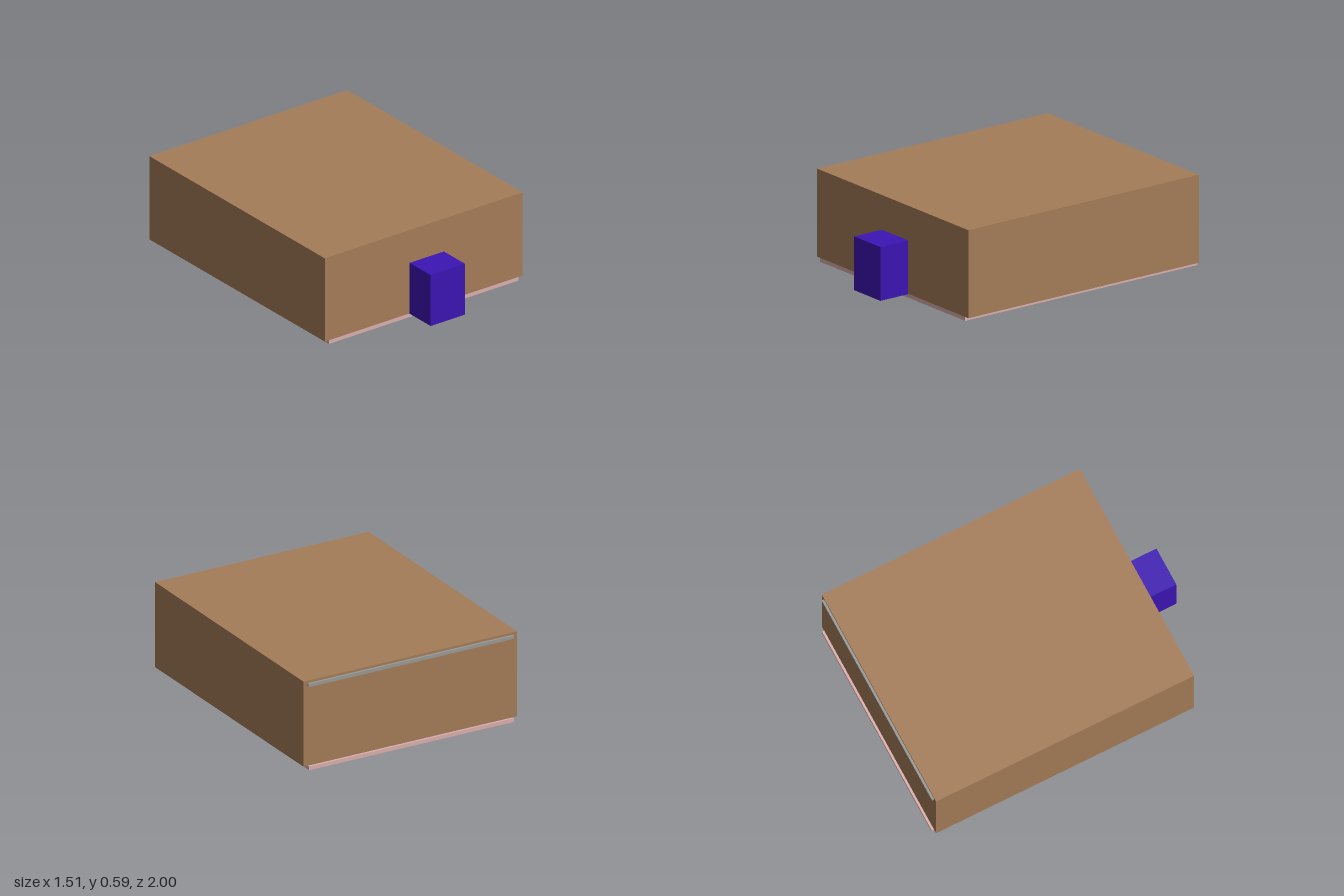
import * as THREE from 'three';

export function createModel() {
  const model = new THREE.Group();

  // Adds a box given its extents along each axis
  function addBox(name, color, [x0, x1], [y0, y1], [z0, z1]) {
    const mesh = new THREE.Mesh(
      new THREE.BoxGeometry(x1 - x0, y1 - y0, z1 - z0),
      new THREE.MeshStandardMaterial({ color })
    );
    mesh.position.set((x0 + x1) / 2, (y0 + y1) / 2, (z0 + z1) / 2);
    mesh.name = name;
    model.add(mesh);
  }

  // Main block
  addBox('body', 0xa57d58, [-0.756, 0.756], [0.025, 0.59], [-0.985, 0.787]);
  // Thin slab underneath, reaching slightly past the back
  addBox('basePlate', 0xdcb0ae, [-0.725, 0.725], [0, 0.025], [-1, 0.787]);
  // Block on the front face, a little off centre
  addBox('frontBlock', 0x3d14b5, [-0.108, 0.154], [0.022, 0.367], [0.787, 1]);
  // Slim rail near the top of the back face
  addBox('backRail', 0x9a9a98, [-0.728, 0.728], [0.552, 0.574], [-1, -0.985]);

  return model;
}
